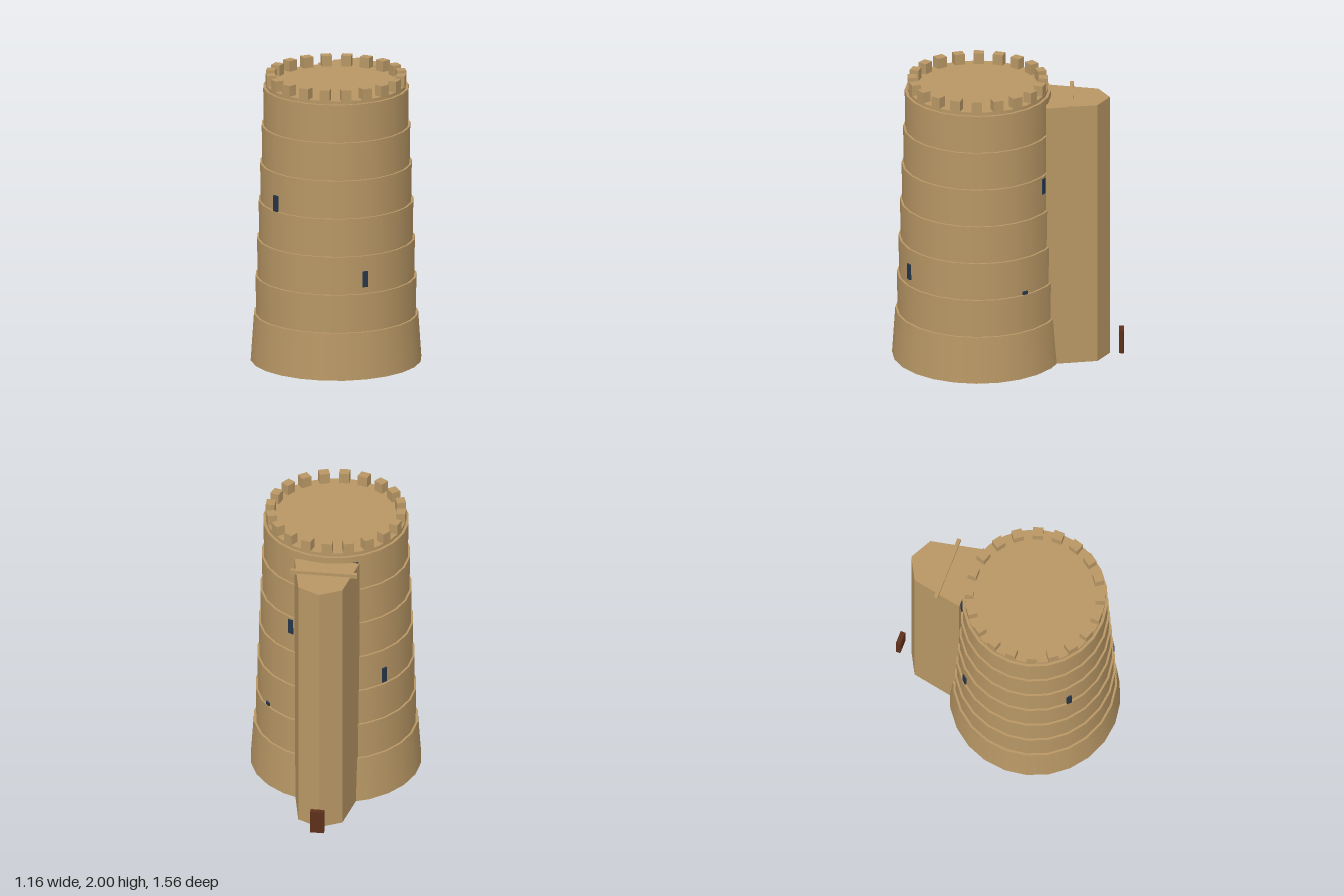
import * as THREE from 'three';

const CENTRE_Z = 0.2; // axis of the round tower
const SIDES = 24;

function material(name, color) {
  const m = new THREE.MeshStandardMaterial({ color });
  m.name = name;
  return m;
}

export function createModel() {
  const stone = material('sandstone', 0xb89765);
  const glass = material('dark window', 0x26364a);
  const wood = material('door wood', 0x5e2f1a);

  const model = new THREE.Group();
  model.name = 'roundTower';

  function add(name, geometry, mat, x, y, z, turn = 0) {
    const mesh = new THREE.Mesh(geometry, mat);
    mesh.name = name;
    mesh.position.set(x, y, z);
    mesh.rotation.y = turn;
    model.add(mesh);
  }

  function drum(name, rTop, rBottom, y0, y1) {
    const g = new THREE.CylinderGeometry(rTop, rBottom, y1 - y0, SIDES);
    add(name, g, stone, 0, (y0 + y1) / 2, CENTRE_Z);
  }

  // Place a part around the tower axis, facing outwards
  function addAround(name, geometry, mat, degrees, radius, y) {
    const a = THREE.MathUtils.degToRad(degrees);
    add(name, geometry, mat, Math.sin(a) * radius, y, CENTRE_Z + Math.cos(a) * radius, a);
  }

  // Battered base and six stepped storeys, each set in a little
  const baseTop = 0.325;
  const storey = (1.903 - baseTop) / 6;
  drum('base', 0.556, 0.578, 0, baseTop);
  for (let i = 0; i < 6; i++) {
    const r = 0.545 - i * 0.0104;
    drum('storey' + (i + 1), r, r - 0.004, baseTop + i * storey, baseTop + (i + 1) * storey);
  }

  // Roof platform and battlements
  drum('roofPlatform', 0.474, 0.474, 1.9, 1.926);
  const merlon = new THREE.BoxGeometry(0.07, 0.08, 0.062);
  for (let i = 0; i < 20; i++) addAround('merlon', merlon, stone, i * 18, 0.443, 1.96);

  // Pointed buttress at the back
  const plan = new THREE.Shape([
    [-0.22, 0.262], [0.22, 0.262], [0.15, 0.61], [0, 0.69], [-0.15, 0.61],
  ].map(([x, y]) => new THREE.Vector2(x, y)));
  const buttress = new THREE.ExtrudeGeometry(plan, { depth: 1.857, bevelEnabled: false });
  buttress.rotateX(-Math.PI / 2);
  add('buttress', buttress, stone, 0, 0, 0);
  add('buttressBeam', new THREE.BoxGeometry(0.452, 0.03, 0.026), stone, 0, 1.865, -0.431);

  // Door standing behind the buttress
  add('door', new THREE.BoxGeometry(0.094, 0.165, 0.033), wood, 0, 0.098, -0.768);

  // Narrow windows: angle, radius, height
  const slit = new THREE.BoxGeometry(0.037, 0.11, 0.016);
  [
    [128, 0.529, 0.555],
    [31, 0.533, 0.69],
    [226, 0.523, 0.92],
    [-42.6, 0.514, 1.168],
    [151, 0.509, 1.306],
    [203, 0.492, 1.8],
  ].forEach(([angle, radius, y]) => addAround('window', slit, glass, angle, radius, y));

  return model;
}
